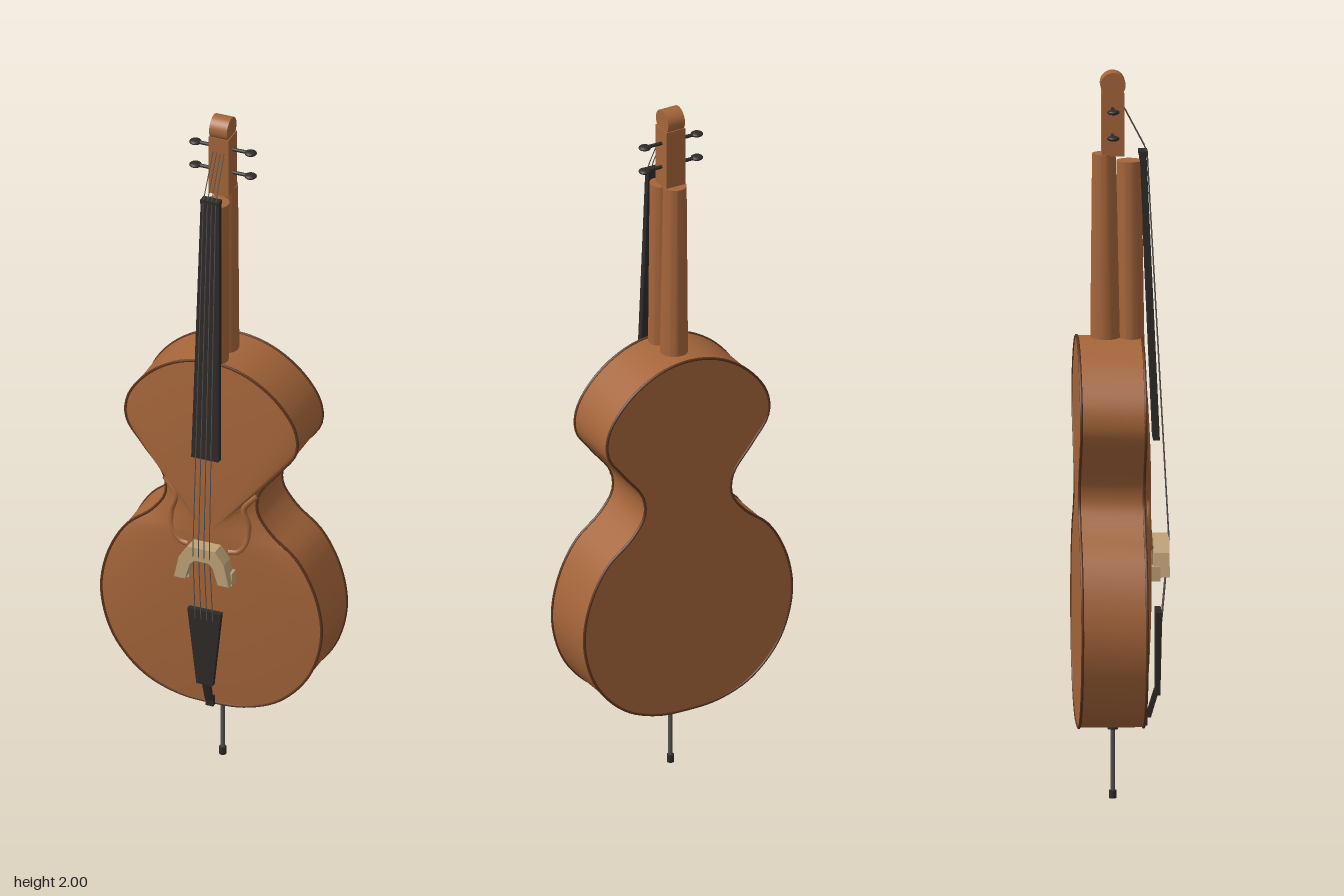
import * as THREE from 'three';
import { toCreasedNormals } from 'three/addons/utils/BufferGeometryUtils.js';

const V = (x, y, z) => new THREE.Vector3(x, y, z);
const mat = (color) => new THREE.MeshStandardMaterial({ color, side: THREE.DoubleSide });

// Closed solid skinned over a list of equal-length rings, capped at both ends
function loft(rings, crease = 0.6) {
  const n = rings[0].length, pos = [], index = [];
  rings.forEach((ring) => ring.forEach((p) => pos.push(p.x, p.y, p.z)));
  for (let i = 0; i < rings.length - 1; i++) {
    for (let j = 0; j < n; j++) {
      const a = i * n + j, b = i * n + (j + 1) % n;
      index.push(a, b, b + n, a, b + n, a + n);
    }
  }
  [0, rings.length - 1].forEach((r, end) => {
    const c = V(0, 0, 0);
    rings[r].forEach((p) => c.addScaledVector(p, 1 / n));
    const ci = pos.length / 3;
    pos.push(c.x, c.y, c.z);
    for (let j = 0; j < n; j++) {
      const a = r * n + j, b = r * n + (j + 1) % n;
      if (end) index.push(ci, a, b); else index.push(ci, b, a);
    }
  });
  const geo = new THREE.BufferGeometry();
  geo.setAttribute('position', new THREE.Float32BufferAttribute(pos, 3));
  geo.setIndex(index);
  return toCreasedNormals(geo, crease);
}

// Upright bar: each section is [y, halfWidthFront, halfWidthBack, zFront, zBack]
const bar = (sections) => loft(sections.map(([y, wf, wb, zf, zb]) =>
  [V(wf, y, zf), V(wb, y, zb), V(-wb, y, zb), V(-wf, y, zf)]), 0.2);

// Upright rounded column: each section is [y, halfWidth, halfDepth, z]
const column = (sections) => loft(sections.map(([y, rx, rz, z]) =>
  Array.from({ length: 32 }, (_, i) => {
    const a = (i / 32) * Math.PI * 2;
    return V(rx * Math.cos(a), y, z - rz * Math.sin(a));
  })));

export function createModel() {
  const group = new THREE.Group();
  const wood = mat(0xa5653a), edge = mat(0x5e351d), ebony = mat(0x2e2a27);
  const maple = mat(0xbfa277), steel = mat(0x55524f);
  const add = (name, geo, material, x = 0, y = 0, z = 0) => {
    const m = new THREE.Mesh(geo, material);
    m.name = name;
    m.position.set(x, y, z);
    group.add(m);
    return m;
  };

  // Body outline, right half mirrored to the left
  const half = [[0.1, 0.213], [0.2, 0.255], [0.285, 0.35], [0.322, 0.48], [0.305, 0.6], [0.25, 0.705],
    [0.175, 0.77], [0.135, 0.83], [0.14, 0.89], [0.2, 0.97], [0.248, 1.04], [0.245, 1.11], [0.19, 1.19], [0.1, 1.25]];
  const points = [V(0, 0.205, 0), ...half.map(([x, y]) => V(x, y, 0)), V(0, 1.27, 0),
    ...half.slice().reverse().map(([x, y]) => V(-x, y, 0))];
  const outline = new THREE.CatmullRomCurve3(points, true);
  const loop = outline.getPoints(120).slice(0, 120);
  const ring = (s, z) => loop.map((p) => V(p.x * s, 0.75 + (p.y - 0.75) * s, z));

  // Flat back, straight ribs and arched top plate
  const rings = [ring(0.5, -0.123), ring(1, -0.123), ring(1, 0.053)];
  for (const s of [0.93, 0.84, 0.72, 0.58, 0.42, 0.25, 0.1]) rings.push(ring(s, 0.053 + 0.023 * (1 - s ** 2.5)));
  add('body', loft(rings), wood);
  for (const [name, z] of [['frontRim', 0.053], ['backRim', -0.122]]) {
    add(name, new THREE.TubeGeometry(outline, 160, 0.004, 6, true), edge, 0, 0, z);
  }

  // Curved mouldings beside the bridge
  for (const s of [-1, 1]) {
    const curve = new THREE.CatmullRomCurve3([V(0.135, 0.885, 0.055), V(0.1, 0.84, 0.064), V(0.112, 0.79, 0.064),
      V(0.108, 0.735, 0.067), V(0.085, 0.705, 0.07), V(0.06, 0.7, 0.073)].map((p) => V(p.x * s, p.y, p.z)));
    add(s > 0 ? 'leftSoundHole' : 'rightSoundHole', new THREE.TubeGeometry(curve, 40, 0.009, 8), wood);
  }

  // Neck: rear column and front column under the fingerboard
  add('neckBack', column([[1.24, 0.037, 0.042, -0.045], [1.775, 0.032, 0.032, -0.05]]), wood);
  add('neckFront', column([[1.24, 0.036, 0.035, 0.025], [1.755, 0.035, 0.034, 0.018]]), wood);

  // Pegbox and scroll
  add('pegbox', new THREE.BoxGeometry(0.058, 0.175, 0.06), wood, 0, 1.858, -0.026);
  const scroll = add('scroll', new THREE.CylinderGeometry(0.034, 0.034, 0.052, 32), wood, 0, 1.966, -0.026);
  scroll.rotation.z = Math.PI / 2;

  // Tuning pegs with flattened knobs
  for (const y of [1.83, 1.902]) {
    const shaft = add('pegShaft', new THREE.CylinderGeometry(0.005, 0.005, 0.16, 12), ebony, 0, y, -0.028);
    shaft.rotation.z = Math.PI / 2;
    for (const s of [-1, 1]) {
      add('pegKnob', new THREE.SphereGeometry(0.017, 16, 12), ebony, s * 0.081, y, -0.028).scale.y = 0.42;
    }
  }

  // Fingerboard and nut
  add('fingerboard', bar([[0.99, 0.04, 0.04, 0.1, 0.082], [1.78, 0.027, 0.027, 0.064, 0.046]]), ebony);
  add('nut', new THREE.BoxGeometry(0.054, 0.012, 0.024), ebony, 0, 1.777, 0.056);

  // Arched bridge with small feet
  const arch = new THREE.Shape([[-0.08, 0.62], [-0.066, 0.685], [-0.04, 0.722], [0.04, 0.722], [0.066, 0.685],
    [0.08, 0.62], [0.048, 0.62], [0.034, 0.668], [0.02, 0.682], [-0.02, 0.682], [-0.034, 0.668], [-0.048, 0.62]]
    .map(([x, y]) => new THREE.Vector2(x, y)));
  add('bridge', new THREE.ExtrudeGeometry(arch, { depth: 0.043, bevelEnabled: false }), maple, 0, 0, 0.082);
  for (const s of [-1, 1]) {
    add('bridgeFoot', new THREE.BoxGeometry(0.034, 0.04, 0.028), maple, s * 0.063, 0.63, 0.086);
  }

  // Tailpiece with its strap running to the bottom edge
  add('tailpiece', bar([[0.285, 0.024, 0.024, 0.102, 0.088], [0.517, 0.049, 0.049, 0.106, 0.09]]), ebony);
  add('tailStrap', bar([[0.222, 0.009, 0.009, 0.077, 0.062], [0.3, 0.011, 0.011, 0.1, 0.086]]), ebony);
  add('saddle', new THREE.BoxGeometry(0.022, 0.03, 0.03), ebony, 0, 0.215, 0.053);

  // Strings: tailpiece, bridge, nut, pegbox
  for (let i = 0; i < 4; i++) {
    const t = (i - 1.5) / 1.5;
    const path = new THREE.CurvePath();
    const stops = [V(t * 0.026, 0.49, 0.106), V(t * 0.024, 0.715, 0.126), V(t * 0.018, 1.782, 0.067),
      V(t * 0.016, 1.902, 0.004)];
    for (let k = 0; k < 3; k++) path.add(new THREE.LineCurve3(stops[k], stops[k + 1]));
    add('string', new THREE.TubeGeometry(path, 60, 0.0014, 5), steel);
  }

  // Endpin with collar and tip
  add('endpin', new THREE.CylinderGeometry(0.006, 0.006, 0.2, 16), steel, 0, 0.11, -0.026);
  add('endpinCollar', new THREE.CylinderGeometry(0.014, 0.014, 0.02, 20), ebony, 0, 0.2, -0.026);
  add('endpinTip', new THREE.CylinderGeometry(0.01, 0.01, 0.022, 16), ebony, 0, 0.011, -0.026);

  return group;
}
